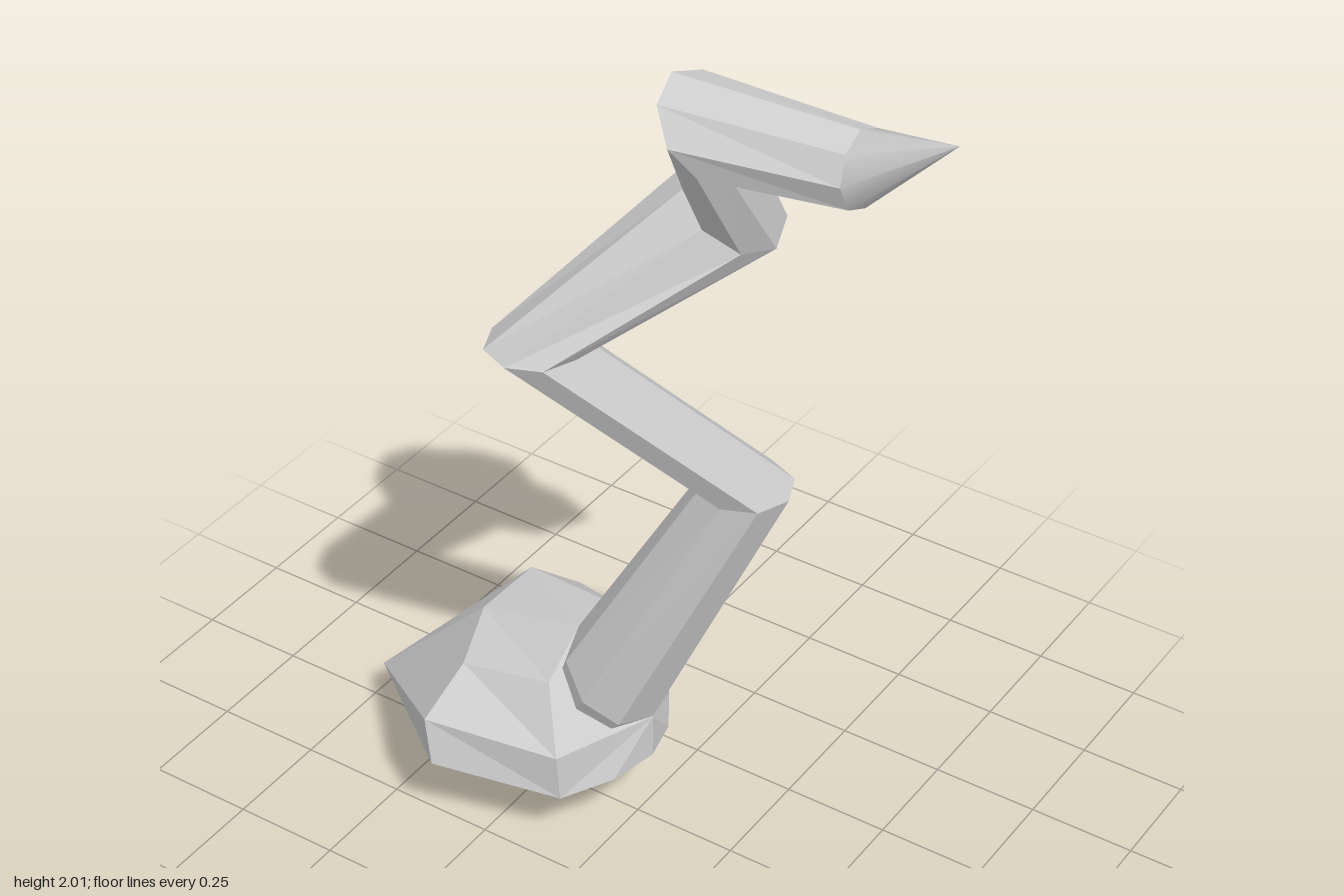
import * as THREE from 'three';

const SIDES = 8;
const V = (x, y, z) => new THREE.Vector3(x, y, z);

// Skin a list of equal-length rings (counter-clockwise about the direction of travel)
function loft(name, rings, flat) {
  const n = rings[0].length;
  const index = [];
  for (let i = 0; i < rings.length - 1; i++) {
    for (let j = 0; j < n; j++) {
      const a = i * n + j, b = i * n + (j + 1) % n;
      const startsAtPoint = rings[i][0].equals(rings[i][1]);
      const endsAtPoint = rings[i + 1][0].equals(rings[i + 1][1]);
      if (!startsAtPoint) index.push(a, b, b + n);
      if (!endsAtPoint) index.push(a, b + n, a + n);
    }
  }
  let geometry = new THREE.BufferGeometry().setFromPoints(rings.flat());
  geometry.setIndex(index);
  if (flat) geometry = geometry.toNonIndexed();
  geometry.computeVertexNormals();
  const material = new THREE.MeshStandardMaterial({ color: 0xcccccc, flatShading: flat });
  const mesh = new THREE.Mesh(geometry, material);
  mesh.name = name;
  return mesh;
}

// Octagonal ring around a joint; the plane leans sideways by its normal (nx, ny)
function ring([x, y, z, radius, nx, ny]) {
  const u = V(0, 0, 1);
  const v = V(nx, ny, 0).normalize().cross(u);
  return Array.from({ length: SIDES }, (_, j) => {
    const a = (j / SIDES) * Math.PI * 2;
    return V(x, y, z)
      .addScaledVector(u, radius * Math.cos(a))
      .addScaledVector(v, radius * Math.sin(a));
  });
}

const pointRing = (count, x, y, z) => Array.from({ length: count }, () => V(x, y, z));

export function createModel() {
  const model = new THREE.Group();
  model.name = 'crookedStalk';

  // Zigzag stalk: centre, radius and lean of the ring at each bend
  const joints = [
    [-0.13, 0.28, 0.0, 0.1, 0.65, 0.76],
    [-0.06, 0.385, 0.0, 0.13, 0.65, 0.76],
    [0.21, 0.95, -0.1, 0.105, 0, 1],
    [-0.125, 1.35, 0.195, 0.105, 0, 1],
    [0.15, 1.615, -0.13, 0.125, 0.6, 0.8],
    [0.2, 1.92, 0.085, 0.115, 0.82, 0.57],
    [0.51, 1.875, -0.01, 0.085, 0.99, 0.1],
  ];
  const stalkRings = joints.map(ring);
  model.add(loft('stalk', stalkRings, true));

  // Smooth pointed tip at the upper end
  const lastRing = stalkRings[stalkRings.length - 1];
  model.add(loft('tip', [lastRing, pointRing(SIDES, 0.72, 2.0, 0)], false));

  // Faceted bulb: two cross-sections, each from the bottom round the back to the front
  const wide = [
    [-0.37, 0.005, 0], [-0.36, 0.05, -0.12], [-0.34, 0.21, -0.32], [-0.36, 0.31, -0.3],
    [-0.4, 0.43, -0.16], [-0.42, 0.41, 0], [-0.37, 0.37, 0.15], [-0.37, 0.31, 0.3],
    [-0.34, 0.21, 0.32], [-0.36, 0.05, 0.12],
  ].map((p) => V(...p));
  const neck = [
    [0.04, 0.19, 0], [0.01, 0.18, -0.11], [-0.06, 0.17, -0.22], [-0.07, 0.28, -0.22],
    [-0.13, 0.44, -0.14], [-0.16, 0.47, 0], [-0.15, 0.4, 0.13], [-0.07, 0.28, 0.22],
    [-0.06, 0.17, 0.22], [0.01, 0.18, 0.11],
  ].map((p) => V(...p));
  const count = wide.length;
  model.add(loft('bulb', [
    pointRing(count, -0.72, 0.11, 0), wide, neck, pointRing(count, 0.04, 0.3, 0),
  ], true));

  return model;
}
